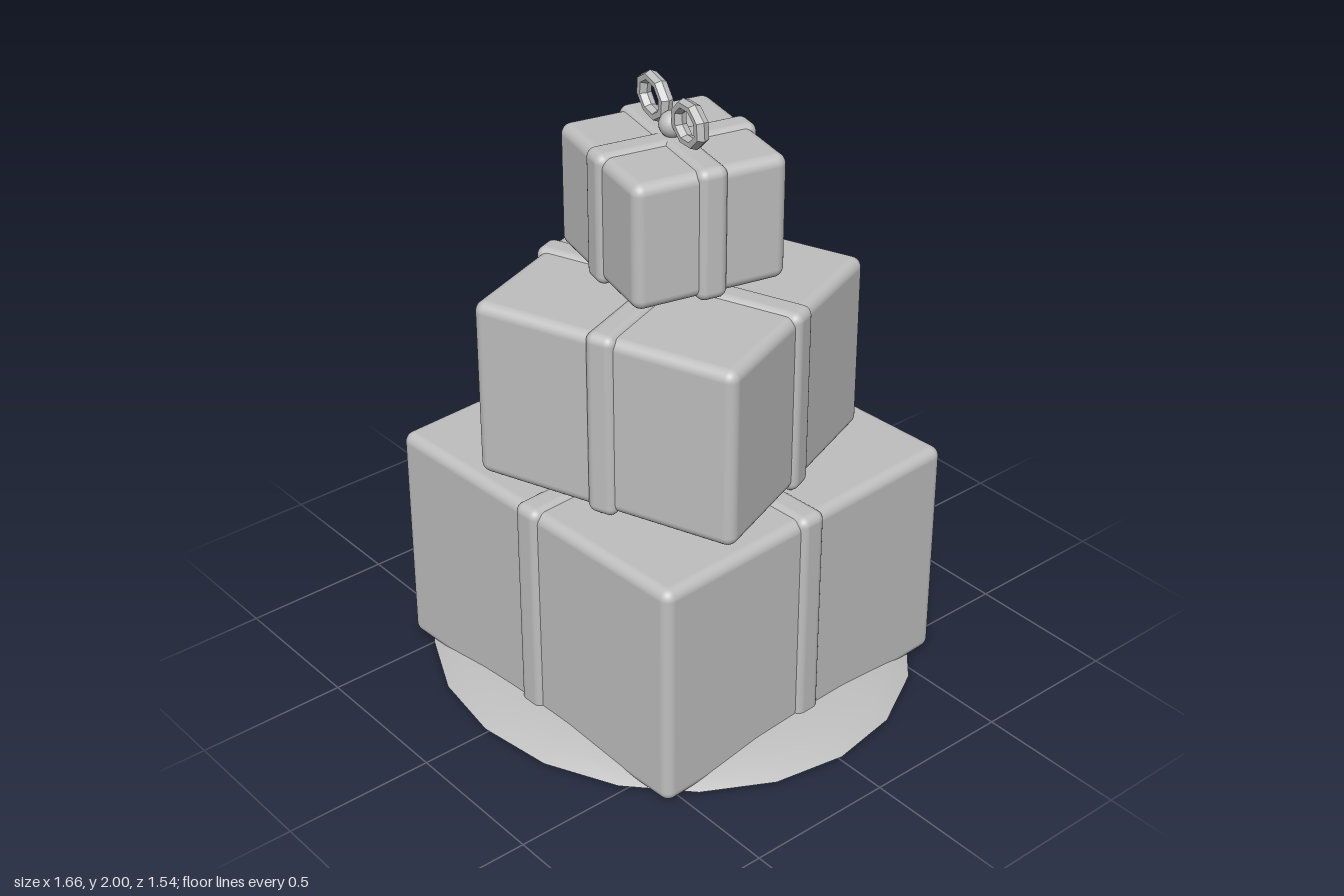
import * as THREE from 'three';
import { RoundedBoxGeometry } from 'three/addons/geometries/RoundedBoxGeometry.js';

const grey = new THREE.MeshStandardMaterial({ color: 0xbfbfbf });
grey.name = 'plain grey';
const greyFacet = grey.clone();
greyFacet.name = 'plain grey faceted';
greyFacet.flatShading = true;

function add(parent, name, geometry, x = 0, y = 0, z = 0, material = grey) {
  const mesh = new THREE.Mesh(geometry, material);
  mesh.name = name;
  mesh.position.set(x, y, z);
  parent.add(mesh);
  return mesh;
}

// Rounded gift box with two ribbon bands crossing over it
function gift(name, w, h, d, x, y, z, angle) {
  const g = new THREE.Group();
  g.name = name;
  g.position.set(x, y, z);
  g.rotation.y = angle;
  const mid = h / 2;
  add(g, 'box', new RoundedBoxGeometry(w, h, d, 4, 0.035), 0, mid, 0);
  add(g, 'ribbonAcross', new RoundedBoxGeometry(w + 0.03, h + 0.022, 0.1, 4, 0.03), 0, mid, 0);
  add(g, 'ribbonFrontToBack', new RoundedBoxGeometry(0.1, h + 0.022, d + 0.03, 4, 0.03), 0, mid, 0);
  return g;
}

// Shallow dome with a faceted rim and a nearly flat underside
function snow(name, rx, rz, sides, bottom, rim, top, x, z) {
  const g = new THREE.Group();
  g.name = name;
  g.position.set(x, 0, z);
  g.scale.set(rx, 1, rz);
  const dome = [[1, 0], [0.93, 0.32], [0.8, 0.62], [0.6, 0.82], [0.3, 0.96], [0, 1]]
    .map(([r, t]) => new THREE.Vector2(r, rim + (top - rim) * t));
  const under = [[0, bottom], [0.9, bottom], [1, rim]].map(([r, y]) => new THREE.Vector2(r, y));
  add(g, 'snowTop', new THREE.LatheGeometry(dome, sides, Math.PI));
  add(g, 'snowUnderside', new THREE.LatheGeometry(under, sides, Math.PI));
  return g;
}

export function createModel() {
  const model = new THREE.Group();
  model.name = 'giftStack';

  // Snow under the stack and on the lowest gift
  model.add(snow('groundSnow', 0.83, 0.77, 20, 0.004, 0.015, 0.1, 0, 0));
  model.add(snow('boxSnow', 0.47, 0.46, 10, 0.78, 0.785, 0.86, -0.15, -0.22));

  // Three stacked gifts, each turned differently
  model.add(gift('largeGift', 1.25, 0.78, 1.2, 0, 0.011, 0, 0.053));
  model.add(gift('middleGift', 0.895, 0.6, 0.855, 0.05, 0.805, 0.04, 0.357));
  const small = gift('smallGift', 0.53, 0.41, 0.51, -0.017, 1.422, -0.02, -0.23);
  model.add(small);

  // Bow on the top gift
  const bow = new THREE.Group();
  bow.name = 'bow';
  bow.position.y = 0.455;
  small.add(bow);
  add(bow, 'knot', new THREE.SphereGeometry(0.042, 16, 12));
  for (const s of [-1, 1]) {
    const loop = new THREE.TorusGeometry(0.07, 0.02, 6, 8);
    loop.rotateZ(Math.PI / 8);
    loop.scale(1.1, 0.84, 1.15);
    loop.rotateZ(s * 0.1);
    add(bow, s < 0 ? 'rightLoop' : 'leftLoop', loop, s * 0.115, 0.046, 0, greyFacet);
  }
  return model;
}
